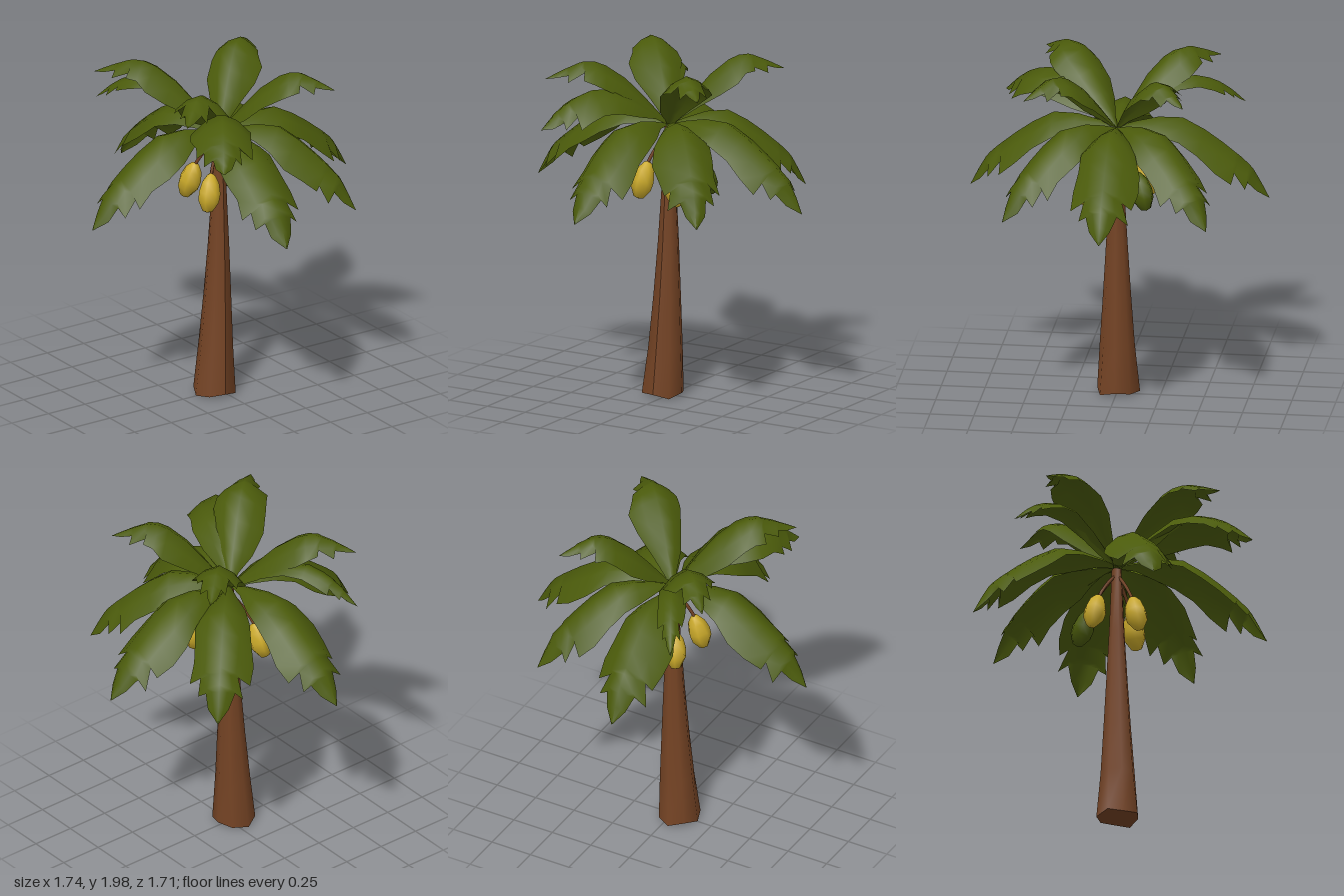
import * as THREE from 'three';

const mat = (name, color, side = THREE.FrontSide) => {
  const m = new THREE.MeshStandardMaterial({ color, side });
  m.name = name;
  return m;
};

// Frond kinds: spine as [distance from trunk, height], and narrowing towards the tip
const KINDS = {
  low: { taper: 0, spine: [[0, 1.6], [0.18, 1.65], [0.35, 1.665], [0.5, 1.59], [0.66, 1.47], [0.77, 1.37], [0.87, 1.19]] },
  mid: { taper: 0.3, spine: [[0, 1.6], [0.2, 1.76], [0.4, 1.86], [0.58, 1.83], [0.7, 1.76], [0.81, 1.66]] },
  high: { taper: 0.55, spine: [[0, 1.6], [0.1, 1.72], [0.22, 1.86], [0.35, 1.96], [0.45, 1.99], [0.57, 1.95], [0.68, 1.895]] },
};

// Leaf outline rows: [position along spine, half width, forward sweep of the edge]
const ROWS = [
  [0, 0.015, 0], [0.1, 0.05, 0], [0.22, 0.11, 0], [0.36, 0.162, 0], [0.5, 0.178, 0],
  [0.6, 0.176, 0.01], [0.69, 0.172, 0.03], [0.73, 0.115, -0.02],
  [0.81, 0.14, 0.03], [0.85, 0.085, -0.02], [0.92, 0.06, 0], [1, 0.002, 0],
];

// Arched leaf blade with barbed edges, five points across
function frondGeometry(spine, taper, width, seed) {
  const curve = new THREE.CatmullRomCurve3(spine.map(([d, y]) => new THREE.Vector3(d, y, 0)));
  const pos = [], idx = [];
  const across = [-1, -0.55, 0, 0.55, 1], drop = [0.68, 0.24, 0, 0.24, 0.68];
  ROWS.forEach(([t, w, sweep], i) => {
    const p = curve.getPoint(t), tan = curve.getTangent(t);
    // edges droop between the blade normal and straight down
    const up = new THREE.Vector3(-tan.y, tan.x + 1, 0).normalize();
    const narrow = 1 - taper * Math.max(0, t - 0.5) * 2;
    across.forEach((a, j) => {
      // small fixed variation so the two edges differ
      const vary = 1 + 0.09 * Math.sin(seed * 2.3 + i * 1.7 + j * 1.1) * a * a;
      const hw = w * width * narrow * vary;
      const v = p.clone().addScaledVector(up, -drop[j] * hw);
      v.addScaledVector(tan, sweep * a * a * vary);
      pos.push(v.x, v.y, a * hw);
      if (i && j) {
        const c = i * 5 + j, b = c - 5;
        idx.push(b - 1, b, c - 1, b, c, c - 1);
      }
    });
  });
  const g = new THREE.BufferGeometry();
  g.setAttribute('position', new THREE.Float32BufferAttribute(pos, 3));
  g.setIndex(idx);
  g.computeVertexNormals();
  return g;
}

// Leaning trunk: [height, centre x, radius], with an uneven foot
function trunkGeometry() {
  const rings = [[0.025, -0.04, 0.122], [0.3, -0.027, 0.1], [0.6, -0.016, 0.08],
    [0.9, -0.008, 0.062], [1.2, -0.004, 0.045], [1.59, 0, 0.028]];
  const sides = 8;
  const g = new THREE.CylinderGeometry(1, 1, 1, sides, rings.length - 1);
  const p = g.attributes.position;
  for (let i = 0; i < p.count; i++) {
    const k = Math.round((p.getY(i) + 0.5) * (rings.length - 1));
    const [y, cx, r] = rings[k];
    const a = Math.atan2(p.getZ(i), p.getX(i));
    const ridge = k === 0 ? 1 + 0.05 * Math.sin(a * 3) : 1;
    const foot = k === 0 ? 0.012 * Math.cos(a * 3 + 0.6) : 0;
    p.setXYZ(i, cx + p.getX(i) * r * ridge, y + foot, p.getZ(i) * r * ridge);
  }
  g.computeVertexNormals();
  return g;
}

export function createModel() {
  const tree = new THREE.Group();
  tree.name = 'palmTree';
  const leaf = mat('leafGreen', 0x4b5b0b, THREE.DoubleSide);
  const bark = mat('barkBrown', 0x744324);
  const yellow = mat('fruitYellow', 0xcbaa2a);

  const add = (name, geo, material, parent = tree) => {
    const m = new THREE.Mesh(geo, material);
    m.name = name;
    parent.add(m);
    return m;
  };

  add('trunk', trunkGeometry(), bark);

  // Fronds: [kind, tip x, tip z, width, length scale, root x]
  const fronds = [
    ['low', 0.86, -0.01, 1, 1, 0], ['low', -0.86, 0, 1, 1, 0],
    ['low', -0.09, 0.85, 1, 0.98, -0.025], ['low', -0.06, -0.86, 1, 0.99, -0.03],
    ['low', 0.53, 0.58, 0.95, 0.91, 0], ['low', 0.55, -0.58, 0.95, 0.92, 0],
    ['high', 0.47, 0.47, 0.82, 0.98, 0], ['high', 0.48, -0.43, 0.82, 0.97, 0],
    ['high', -0.54, 0.47, 0.88, 1.05, 0], ['high', -0.5, -0.54, 0.82, 1.07, 0],
    ['mid', -0.43, 0.68, 1, 1, 0], ['mid', -0.37, -0.68, 0.45, 0.97, 0],
  ];
  const crown = new THREE.Group();
  crown.name = 'crown';
  tree.add(crown);
  fronds.forEach(([kind, x, z, width, len, rootX], i) => {
    const { spine, taper } = KINDS[kind];
    const scaled = spine.map(([d, y]) => [d * len, y]);
    const f = add(kind + 'Frond' + (i + 1), frondGeometry(scaled, taper, width, i), leaf, crown);
    f.rotation.y = -Math.atan2(z, x);
    f.position.x = rootX;
  });

  // Hanging fruit on short stalks: [x, z, material]
  const profile = [[0, -0.115], [0.03, -0.105], [0.06, -0.05], [0.064, 0.0],
    [0.05, 0.06], [0.024, 0.1], [0, 0.115]].map(([r, y]) => new THREE.Vector2(r, y));
  const fruitGeo = new THREE.LatheGeometry(profile, 7);
  [[0.12, 0.13, yellow], [-0.125, 0.08, yellow], [-0.1, -0.15, yellow], [0.14, -0.16, leaf]]
    .forEach(([x, z, material], i) => {
      const fruit = add('fruit' + (i + 1), fruitGeo, material);
      fruit.position.set(x, 1.275, z);
      const lean = new THREE.Vector3(-x * 1.8, 1, -z * 1.8).normalize();
      fruit.quaternion.setFromUnitVectors(new THREE.Vector3(0, 1, 0), lean);
      const top = fruit.position.clone().addScaledVector(lean, 0.1);
      const path = new THREE.QuadraticBezierCurve3(
        new THREE.Vector3(0, 1.56, 0), new THREE.Vector3(x * 0.5, 1.48, z * 0.5), top);
      add('fruitStalk' + (i + 1), new THREE.TubeGeometry(path, 5, 0.01, 5), bark);
    });

  return tree;
}
